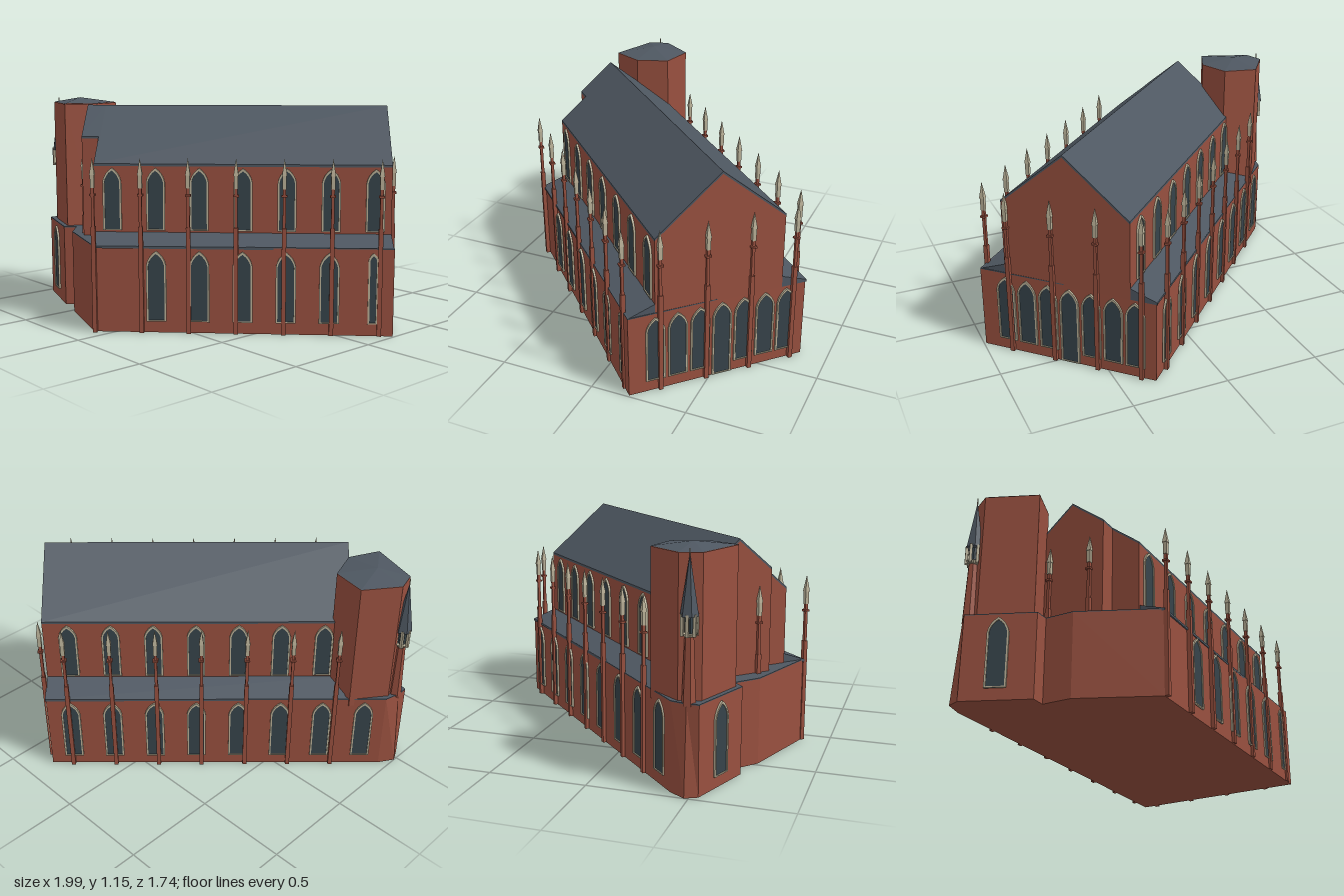
import * as THREE from 'three';

const mat = (color) => new THREE.MeshStandardMaterial({ color, flatShading: true, side: THREE.DoubleSide });
const brick = mat(0x98503f), slate = mat(0x4e5761), glass = mat(0x36434a), stone = mat(0xb9b097);

function add(parent, name, geo, material, x = 0, y = 0, z = 0) {
  const m = new THREE.Mesh(geo, material);
  m.name = name;
  m.position.set(x, y, z);
  parent.add(m);
  return m;
}

const shapeOf = (pts) => new THREE.Shape(pts.map(([a, b]) => new THREE.Vector2(a, b)));

// upright prism over a plan of [x, z] points
function prism(plan, y0, y1) {
  const g = new THREE.ExtrudeGeometry(shapeOf(plan), { depth: y1 - y0, bevelEnabled: false });
  return g.rotateX(Math.PI / 2).translate(0, y1, 0);
}

// [x, y] section run along z
function run(section, z0, z1) {
  const g = new THREE.ExtrudeGeometry(shapeOf(section), { depth: z1 - z0, bevelEnabled: false });
  return g.translate(0, 0, z0);
}

function archShape(w, h, Type = THREE.Shape) {
  const s = new Type(), spring = h - w * 0.75;
  s.moveTo(-w / 2, 0);
  s.lineTo(w / 2, 0);
  s.lineTo(w / 2, spring);
  s.quadraticCurveTo(w * 0.42, h - w * 0.28, 0, h);
  s.quadraticCurveTo(-w * 0.42, h - w * 0.28, -w / 2, spring);
  s.closePath();
  return s;
}

// pointed window: stone surround and recessed pane
function archWindow(parent, name, x, y, z, turn, w, h) {
  const g = new THREE.Group();
  g.name = name;
  g.position.set(x, y, z);
  g.rotation.y = turn;
  const frame = archShape(w, h);
  const hole = archShape(w - 0.018, h - 0.02, THREE.Path);
  frame.holes.push(new THREE.Path(hole.getPoints(4).map((p) => p.add(new THREE.Vector2(0, 0.006)))));
  const opts = (depth) => ({ depth, bevelEnabled: false, curveSegments: 4 });
  add(g, 'windowSurround', new THREE.ExtrudeGeometry(frame, opts(0.01)), stone);
  add(g, 'windowPane', new THREE.ExtrudeGeometry(archShape(w - 0.01, h - 0.01), opts(0.005)), glass);
  parent.add(g);
}

// slim buttress shaft with collar and stone spike
function pinnacle(parent, x, z, y0 = 0) {
  const g = new THREE.Group();
  g.name = 'pinnacle';
  g.position.set(x, 0, z);
  const box = (name, w, a, b, m) => add(g, name, new THREE.BoxGeometry(w, b - a, w), m, 0, (a + b) / 2, 0);
  box('lowerShaft', 0.022, y0, 0.54, brick);
  box('upperShaft', 0.015, 0.54, 0.74, brick);
  box('collar', 0.028, 0.695, 0.705, brick);
  box('spikeBase', 0.02, 0.735, 0.8, stone);
  add(g, 'spike', new THREE.ConeGeometry(0.018, 0.085, 4).rotateY(Math.PI / 4), stone, 0, 0.8425, 0);
  parent.add(g);
}

export function createModel() {
  const root = new THREE.Group();
  root.name = 'church';

  // ground storey on an irregular plan, with a battered corner under the turret
  const plan = [[0.32, -0.86], [0.99, -0.2], [-0.08, 0.85], [-0.48, 0.71], [-0.59, 0.61],
    [-0.64, 0.66], [-0.97, 0.54], [-1, 0.48], [-0.95, 0.4]];
  const base = prism(plan, 0, 0.438), p = base.attributes.position;
  for (let i = 0; i < p.count; i++) {
    if (p.getX(i) < -0.99 && p.getY(i) > 0.4) p.setX(i, -0.97);
  }
  base.computeVertexNormals();
  add(root, 'groundStorey', base, brick);
  const roofPlan = plan.map(([x, z]) => [Math.max(x, -0.97), z]);
  add(root, 'lowerRoof', prism(roofPlan, 0.438, 0.443), slate);

  // body group: x runs across the nave, z along it towards the entrance
  const body = new THREE.Group();
  body.name = 'body';
  body.rotation.y = -Math.PI / 4;
  root.add(body);
  const L = -0.25, R = 0.42, mid = 0.085, eave = 0.84, top = 1.12, back = -0.838;
  const step = 0.27, stepY = top - (step - mid) * (top - eave) / (R - mid);
  const d = 0.012;

  // nave walls and roof; the right bay stops short of the gable front
  add(body, 'naveWalls', run([[L, 0.43], [R, 0.43], [R, eave - d], [mid, top - d], [L, eave - d]], back, 0.668), brick);
  add(body, 'naveFront', run([[L, 0.43], [step, 0.43], [step, stepY - d], [mid, top - d], [L, eave - d]], 0.66, 0.757), brick);
  add(body, 'roofLeft', run([[L, eave - d], [mid, top - d], [mid, top], [L, eave]], back, 0.757), slate);
  add(body, 'roofRight', run([[R, eave - d], [mid, top - d], [mid, top], [R, eave]], back, 0.668), slate);
  add(body, 'roofRightFront', run([[step, stepY - d], [mid, top - d], [mid, top], [step, stepY]], 0.66, 0.757), slate);

  // lean-to aisle roofs
  add(body, 'aisleRoofRight', run([[R, 0.43], [0.553, 0.43], [0.553, 0.442], [R, 0.49]], back, 0.662), slate);
  add(body, 'aisleRoofLeft', run([[-0.386, 0.43], [L, 0.43], [L, 0.49], [-0.386, 0.442]], back, 0.74), slate);

  // aisle and clerestory windows
  const q = Math.PI / 2;
  for (let i = 0; i < 6; i++) {
    const narrow = i === 5;
    archWindow(body, 'aisleWindowRight', 0.553, 0.06, 0.338 - i * 0.2155, q, narrow ? 0.05 : 0.1, 0.36);
  }
  for (let i = 0; i < 7; i++) {
    archWindow(body, 'clerestoryWindowRight', R, 0.5, 0.576 - i * 0.222, q, 0.095, 0.32);
    archWindow(body, 'clerestoryWindowLeft', L, 0.5, -0.71 + i * 0.222, -q, 0.095, 0.32);
  }
  for (let i = 0; i < 8; i++) {
    archWindow(body, 'aisleWindowLeft', -0.386, 0.06, -0.71 + i * 0.222, -q, 0.1, 0.36);
  }

  // rear wall windows around a central door
  for (let i = 0; i < 7; i++) {
    const door = i === 3;
    archWindow(body, door ? 'rearDoor' : 'rearWindow', 0.42 - i * 0.116, door ? 0.005 : 0.06, back, Math.PI,
      0.1, door ? 0.415 : 0.36);
  }

  // pinnacles along both sides, the rear and the front gable
  for (let i = 0; i < 7; i++) {
    pinnacle(body, 0.557, 0.65 - i * 0.237);
    pinnacle(body, -0.392, 0.686 - i * 0.234);
  }
  for (const x of [-0.31, -0.078, 0.156, 0.396]) pinnacle(body, x, back - 0.008);
  for (const x of [-0.035, 0.198]) pinnacle(body, x, 0.766, 0.44);

  // six-sided tower with a shallow cap
  const hex = [[-0.575, 0.47], [-0.65, 0.63], [-0.91, 0.535], [-0.94, 0.43], [-0.815, 0.26], [-0.634, 0.3]];
  add(root, 'tower', prism(hex, 0.4, 1.118), brick);
  const cap = [];
  hex.forEach(([x, z], i) => {
    const [x2, z2] = hex[(i + 1) % 6];
    cap.push(x, 1.12, z, x2, 1.12, z2, -0.77, 1.147, 0.45);
  });
  const capGeo = new THREE.BufferGeometry();
  // reversed so the slopes face up
  for (let i = 0; i < cap.length; i += 9) {
    const a = cap.slice(i, i + 3), b = cap.slice(i + 3, i + 6);
    cap.splice(i, 6, ...a, ...b);
  }
  capGeo.setAttribute('position', new THREE.Float32BufferAttribute(cap, 3));
  capGeo.computeVertexNormals();
  add(root, 'towerCap', capGeo, slate);
  archWindow(root, 'towerWindow', -0.81, 0.06, 0.599, Math.atan2(-0.12, 0.33), 0.105, 0.36);

  // corner turret: tapered shaft, open stone lantern, slender spire
  const turret = new THREE.Group();
  turret.name = 'turret';
  turret.position.set(-0.943, 0, 0.483);
  root.add(turret);
  add(turret, 'turretShaft', new THREE.CylinderGeometry(0.022, 0.034, 0.33, 6), brick, 0, 0.595, 0);
  add(turret, 'lanternCore', new THREE.CylinderGeometry(0.022, 0.022, 0.1, 6), glass, 0, 0.8, 0);
  for (let i = 0; i < 6; i++) {
    const a = i * Math.PI / 3;
    add(turret, 'lanternPost', new THREE.BoxGeometry(0.014, 0.1, 0.014), stone,
      Math.cos(a) * 0.034, 0.8, Math.sin(a) * 0.034);
  }
  add(turret, 'lanternSill', new THREE.CylinderGeometry(0.038, 0.03, 0.015, 6), stone, 0, 0.755, 0);
  add(turret, 'spire', new THREE.ConeGeometry(0.044, 0.28, 6), slate, 0, 0.98, 0);
  add(turret, 'spireTip', new THREE.CylinderGeometry(0.003, 0.003, 0.05, 4), stone, 0, 1.115, 0);
  return root;
}
